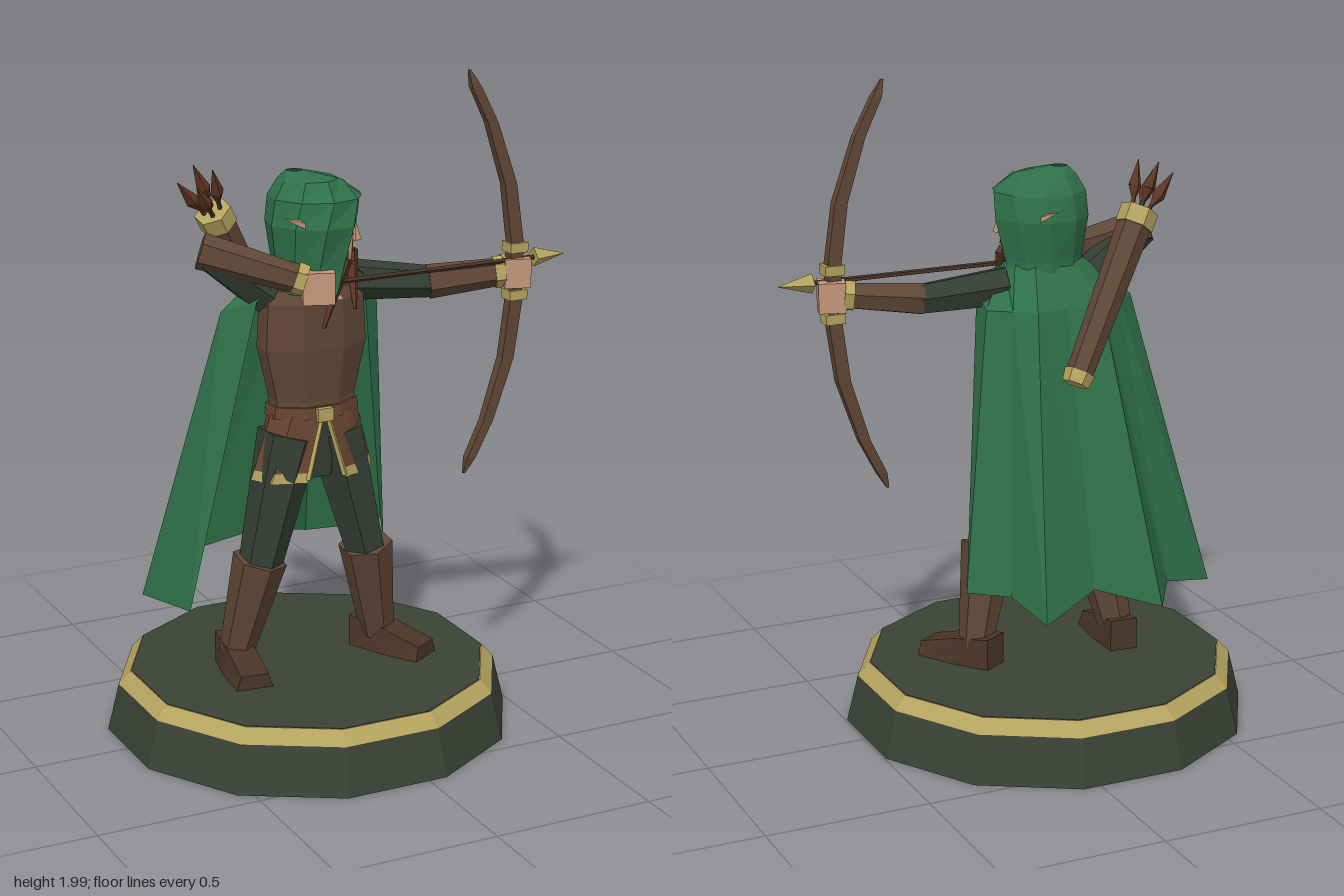
import * as THREE from 'three';

const mat = (name, color) => {
  const m = new THREE.MeshStandardMaterial({ color, flatShading: true, side: THREE.DoubleSide });
  m.name = name;
  return m;
};
const V = (x, y, z) => new THREE.Vector3(x, y, z);
const UP = V(0, 1, 0);

// Surface through rows of points; closed rows wrap round and get end caps
function loft(rows, closed = true) {
  const n = rows[0].length, pos = [];
  const tri = (...p) => p.forEach(q => pos.push(...q));
  for (let i = 0; i < rows.length - 1; i++) {
    for (let j = 0; j < (closed ? n : n - 1); j++) {
      const k = (j + 1) % n;
      const a = rows[i][j], b = rows[i][k], c = rows[i + 1][k], d = rows[i + 1][j];
      tri(a, b, c);
      tri(a, c, d);
    }
  }
  if (closed) {
    const lo = rows[0], hi = rows[rows.length - 1];
    for (let j = 1; j < n - 1; j++) {
      tri(lo[0], lo[j + 1], lo[j]);
      tri(hi[0], hi[j], hi[j + 1]);
    }
  }
  const g = new THREE.BufferGeometry();
  g.setAttribute('position', new THREE.Float32BufferAttribute(pos, 3));
  g.computeVertexNormals();
  return g;
}

// Level ring whose flats lie at the given half widths
function ring(x, y, z, rx, rz, n = 8) {
  const k = 1 / Math.cos(Math.PI / n);
  return Array.from({ length: n }, (_, j) => {
    const a = (j + 0.5) / n * Math.PI * 2;
    return [x + Math.sin(a) * rx * k, y, z + Math.cos(a) * rz * k];
  });
}

// Level arc running round the back, leaving a gap of half angle g at the front
function arc(x, y, z, rx, rz, g, n) {
  return Array.from({ length: n }, (_, j) => {
    const a = g + (2 * Math.PI - 2 * g) * j / (n - 1);
    return [x + Math.sin(a) * rx, y, z + Math.cos(a) * rz];
  });
}

export function createModel() {
  const model = new THREE.Group();
  const stone = mat('dark stone', 0x3c4236), gold = mat('gold', 0xb5a35f);
  const green = mat('cloak green', 0x2f7049), cloth = mat('dark cloth', 0x343d33);
  const leather = mat('leather', 0x5f4736), dark = mat('dark leather', 0x4a3527);
  const russet = mat('russet leather', 0x684530), hair = mat('hair', 0x5c3523);
  const skin = mat('skin', 0xc4977b), ink = mat('eyes', 0x2b211c);

  const add = (name, geo, material, parent = model) => {
    const m = new THREE.Mesh(geo, material);
    m.name = name;
    parent.add(m);
    return m;
  };
  // Tapered prism from one point to another
  const limb = (name, a, b, ra, rb, material, n = 6, parent = model) => {
    const d = b.clone().sub(a);
    const m = add(name, new THREE.CylinderGeometry(rb, ra, d.length(), n), material, parent);
    m.position.copy(a).add(b).multiplyScalar(0.5);
    m.quaternion.setFromUnitVectors(UP, d.normalize());
    return m;
  };
  const box = (name, p, s, material, parent = model) => {
    const m = add(name, new THREE.BoxGeometry(...s), material, parent);
    m.position.set(...p);
    return m;
  };
  const CX = -0.105;

  // Base
  const disc = (y, r) => ring(CX, y, 0, r, r, 12);
  add('base', loft([disc(0, 0.6), disc(0.145, 0.566)]), stone);
  add('baseRim', loft([disc(0.145, 0.566), disc(0.185, 0.53)]), gold);
  add('baseTop', loft([disc(0.18, 0.528), disc(0.187, 0.528)]), stone);

  // Legs, boots and feet
  const legs = [
    { side: 'right', hip: V(-0.18, 0.93, 0.03), knee: V(-0.28, 0.53, 0.035), ankle: V(-0.337, 0.24, -0.02), turn: -0.1 },
    { side: 'left', hip: V(-0.03, 0.93, 0.03), knee: V(0.066, 0.53, 0.05), ankle: V(0.128, 0.24, 0.01), turn: 0.55 },
  ];
  for (const { side, hip, knee, ankle, turn } of legs) {
    limb(side + 'Thigh', hip, knee, 0.095, 0.066, cloth);
    limb(side + 'Boot', ankle, knee.clone().setY(0.55), 0.052, 0.083, leather);
    const foot = new THREE.BoxGeometry(0.115, 0.1, 0.25, 1, 1, 2);
    const p = foot.attributes.position;
    for (let i = 0; i < p.count; i++) {
      const z = p.getZ(i);
      if (p.getY(i) > 0) {
        p.setX(i, p.getX(i) * 0.75);
        p.setY(i, z > 0.1 ? -0.005 : z > -0.1 ? 0.03 : 0.05);
      } else if (z < -0.1) p.setX(i, p.getX(i) * 0.75);
    }
    foot.translate(0, 0, 0.05);
    const f = add(side + 'Foot', foot, dark);
    f.position.set(ankle.x, 0.235, ankle.z);
    f.rotation.y = turn;
  }
  add('hips', loft([ring(CX, 0.8, 0.03, 0.07, 0.06), ring(CX, 0.99, 0.03, 0.12, 0.07)]), cloth);

  // Tunic with a slit skirt and gold hem
  add('torso', loft([[0.98, 0.13, 0.075], [1.04, 0.127, 0.072], [1.2, 0.162, 0.085], [1.34, 0.155, 0.08], [1.375, 0.12, 0.065]]
    .map(([y, rx, rz]) => ring(CX, y, 0.03, rx, rz))), leather);
  add('neckline', loft([ring(CX, 1.345, 0.035, 0.118, 0.083), ring(CX, 1.415, 0.03, 0.065, 0.05)]), skin);
  add('belt', loft([ring(CX, 0.99, 0.03, 0.138, 0.085), ring(CX, 1.025, 0.03, 0.134, 0.082)]), russet);
  const skirt = t => arc(CX, 1.0 - 0.2 * t, 0.03, 0.142 + 0.058 * t, 0.09 + 0.016 * t, 0.05 + 0.27 * t, 10);
  add('skirt', loft([skirt(0.85), skirt(0)], false), russet);
  add('skirtHem', loft([skirt(1), skirt(0.85)], false), gold);
  for (const s of [-1, 1]) {
    limb('slitTrim', V(CX + s * 0.06, 0.81, 0.133), V(CX + s * 0.012, 0.985, 0.123), 0.009, 0.008, gold, 4);
  }
  box('buckle', [CX, 1.003, 0.12], [0.05, 0.04, 0.02], gold);

  // Cloak: neck, shoulders and pleated hem, from the right front round the back
  const neck = arc(-0.095, 1.44, 0.01, 0.125, 0.105, 0.95, 9).reverse();
  const shoulders = [[-0.29, 1.35, 0.05], [-0.37, 1.31, -0.03], [-0.29, 1.32, -0.11], [-0.21, 1.32, -0.165], [-0.1, 1.32, -0.15],
    [0, 1.32, -0.165], [0.06, 1.32, -0.12], [0.125, 1.32, -0.075], [0.11, 1.35, 0.03]];
  const hem = [[-0.52, 0.43, 0.06], [-0.575, 0.41, -0.18], [-0.4, 0.45, -0.24], [-0.3, 0.44, -0.4], [-0.11, 0.5, -0.33],
    [0.08, 0.44, -0.4], [0.13, 0.49, -0.26], [0.257, 0.51, -0.22], [0.17, 0.5, -0.03]];
  add('cloak', loft([hem, shoulders, neck], false), green);

  // Head, turned along the aim
  const head = new THREE.Group();
  head.name = 'head';
  head.position.set(-0.09, 0, 0.025);
  head.rotation.y = Math.PI / 3;
  model.add(head);
  limb('neck', V(0, 1.36, 0.01), V(0, 1.48, 0.02), 0.052, 0.05, skin, 6, head);
  add('face', loft([[1.435, 0.028, 0.035, 0.07], [1.48, 0.052, 0.06, 0.05], [1.56, 0.064, 0.07, 0.045], [1.64, 0.058, 0.065, 0.035]]
    .map(([y, rx, rz, z]) => ring(0, y, z, rx, rz))), skin);
  const nose = add('nose', new THREE.ConeGeometry(0.017, 0.055, 4), skin, head);
  nose.position.set(0, 1.54, 0.12);
  box('mouth', [0, 1.483, 0.111], [0.03, 0.006, 0.008], hair, head);
  head.add(model.getObjectByName('face'));
  add('hairCap', loft([ring(0, 1.6, 0.03, 0.078, 0.08), ring(0, 1.665, 0.02, 0.068, 0.075)]), hair, head);
  for (const s of [-1, 1]) {
    box('eye', [s * 0.027, 1.562, 0.115], [0.022, 0.01, 0.008], ink, head);
    const ear = limb('ear', V(s * 0.06, 1.55, 0.03), V(s * 0.2, 1.62, -0.075), 0.028, 0.001, skin, 4, head);
    ear.scale.z = 0.5;
    limb('sideHair', V(s * 0.066, 1.45, 0.085), V(s * 0.062, 1.64, 0.075), 0.018, 0.024, hair, 4, head);
  }
  limb('rightHairLock', V(-0.115, 1.27, 0.135), V(-0.04, 1.47, 0.125), 0.006, 0.026, hair, 4);
  limb('leftHairLock', V(0.0, 1.31, 0.11), V(0.025, 1.47, 0.03), 0.006, 0.024, hair, 4);

  // Hood: an open shell that closes above the brow
  add('hood', loft([[1.37, 0.125, 0.125, 0.95, 0], [1.45, 0.128, 0.13, 0.8, 0], [1.57, 0.145, 0.148, 0.62, 0], [1.645, 0.128, 0.14, 0.4, 0],
    [1.695, 0.08, 0.09, 0.02, -0.02], [1.718, 0.02, 0.025, 0, -0.06]]
    .map(([y, rx, rz, gap, z]) => arc(0, y, z, rx, rz, gap, 9)), false), green, head);
  add('hoodBrow', loft([arc(0, 1.645, 0, 0.128, 0.14, 0.4, 9), arc(0, 1.695, -0.02, 0.08, 0.09, 0.02, 9)]
    .map(r => [r[8], [0, r[0][1], r[0][2] + 0.008], r[0]]), false), green, head);

  // Bow arm
  const elbowL = V(0.285, 1.345, 0.045), wristL = V(0.495, 1.365, 0.105);
  limb('leftUpperArm', V(0.03, 1.37, -0.005), elbowL, 0.063, 0.048, cloth);
  limb('leftBracer', elbowL.clone().setX(0.275), wristL, 0.052, 0.042, leather);
  limb('leftCuff', V(0.472, 1.363, 0.098), V(0.5, 1.366, 0.107), 0.048, 0.048, gold);
  box('leftHand', [0.535, 1.365, 0.118], [0.08, 0.09, 0.075], skin).rotation.y = -0.28;

  // Drawing arm
  const elbowR = V(-0.425, 1.5, 0.005);
  limb('rightUpperArm', V(-0.24, 1.36, 0.0), elbowR, 0.065, 0.05, cloth);
  limb('rightBracer', V(-0.445, 1.51, 0.0), V(-0.18, 1.42, 0.12), 0.055, 0.042, leather);
  limb('rightCuff', V(-0.195, 1.428, 0.112), V(-0.168, 1.418, 0.125), 0.047, 0.047, gold);
  box('rightHand', [-0.135, 1.4, 0.138], [0.095, 0.095, 0.07], skin).rotation.y = -0.35;

  // Bow, mirrored about the grip
  const half = [[0.365, 0.62, 0.004], [0.385, 0.57, 0.015], [0.44, 0.46, 0.017], [0.503, 0.27, 0.02], [0.528, 0.09, 0.021]];
  const bowRing = ([x, h, r], s) => ring(x, 1.37 + s * h, 0.122, r, r * 0.85, 4);
  add('bow', loft([...half.map(p => bowRing(p, -1)), ...[...half].reverse().map(p => bowRing(p, 1))]), leather);
  for (const s of [-1, 1]) box('bowBand', [0.53, 1.37 + s * 0.073, 0.122], [0.06, 0.03, 0.055], gold);

  // Nocked arrow
  limb('arrowShaft', V(-0.13, 1.405, 0.13), V(0.61, 1.405, 0.13), 0.008, 0.008, dark, 5);
  limb('arrowHead', V(0.59, 1.405, 0.13), V(0.695, 1.405, 0.13), 0.03, 0.001, gold, 4);

  // Quiver with spare arrows, built upright and then tilted on the back
  const quiver = new THREE.Group();
  quiver.name = 'quiver';
  const low = V(-0.075, 1.12, -0.26), high = V(-0.35, 1.59, -0.125);
  const len = low.distanceTo(high);
  quiver.position.copy(low);
  quiver.quaternion.setFromUnitVectors(UP, high.clone().sub(low).normalize());
  model.add(quiver);
  limb('quiverBody', V(0, 0.03, 0), V(0, len - 0.03, 0), 0.04, 0.052, leather, 6, quiver);
  limb('quiverFoot', V(0, 0, 0), V(0, 0.04, 0), 0.04, 0.046, gold, 6, quiver);
  limb('quiverRim', V(0, len - 0.055, 0), V(0, len, 0), 0.057, 0.057, gold, 6, quiver);
  for (let i = 0; i < 4; i++) {
    const a = i * Math.PI / 2 + 0.4, x = Math.cos(a), z = Math.sin(a);
    const at = (r, h) => V(x * r, len + h, z * r);
    limb('spareShaft', at(0.02, -0.03), at(0.035, 0.07), 0.007, 0.007, dark, 4, quiver);
    limb('fletchingBase', at(0.028, 0.02), at(0.038, 0.06), 0.005, 0.022, hair, 4, quiver);
    limb('fletchingTip', at(0.038, 0.06), at(0.055, 0.14), 0.022, 0.001, hair, 4, quiver);
  }
  return model;
}
